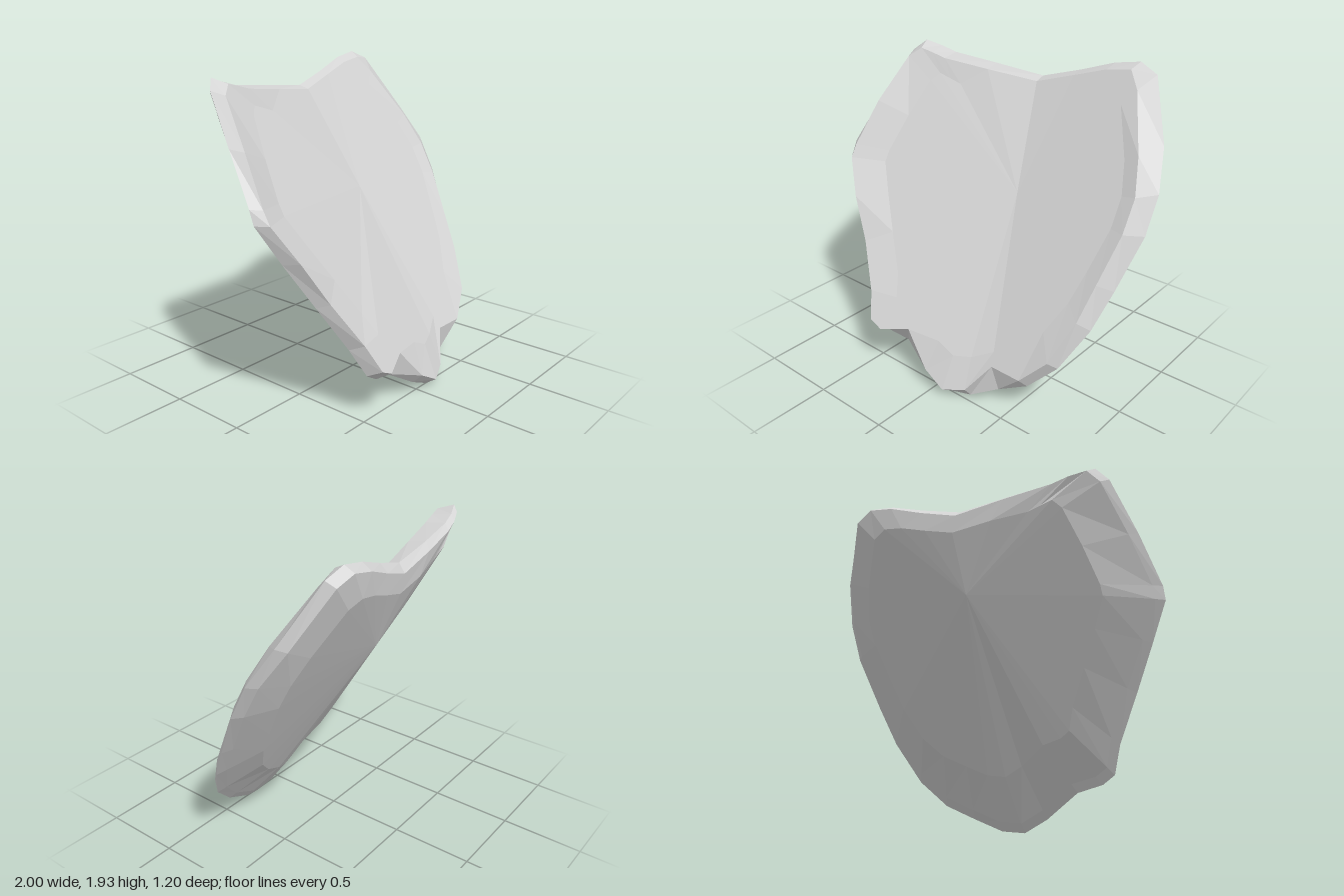
import * as THREE from 'three';

// Rim of the slab, clockwise from the top left: x, y, z, front bevel inset
const RIM = [
  [-0.8, 1.88, -0.31, 0.05], [-0.7, 1.85, -0.35, 0.03], [-0.6, 1.82, -0.37, 0.02],
  [-0.3, 1.79, -0.42, 0.02], [0.03, 1.76, -0.46, 0.02], [0.27, 1.83, -0.5, 0.02],
  [0.48, 1.9, -0.54, 0.03], [0.64, 1.93, -0.55, 0.04], [0.76, 1.88, -0.53, 0.1],
  [0.93, 1.55, -0.36, 0.1], [1, 1.33, -0.22, 0.1], [1, 1.12, -0.11, 0.1],
  [0.93, 0.82, 0.05, 0.09], [0.87, 0.6, 0.17, 0.08], [0.75, 0.36, 0.3, 0.06],
  [0.59, 0.2, 0.37, 0.06], [0.4, 0.1, 0.4, 0.16], [0.24, 0.02, 0.47, 0.06],
  [0.1, 0, 0.5, 0.05], [-0.05, 0.07, 0.51, 0.06], [-0.27, 0.2, 0.48, 0.14],
  [-0.42, 0.24, 0.52, 0.06], [-0.5, 0.29, 0.52, 0.05], [-0.57, 0.45, 0.45, 0.05],
  [-0.73, 0.72, 0.36, 0.05], [-0.88, 0.98, 0.27, 0.05], [-1, 1.2, 0.2, 0.05],
  [-1, 1.28, 0.17, 0.05], [-0.94, 1.55, -0.03, 0.04], [-0.86, 1.82, -0.25, 0.04],
];
const CX = 0.15, CY = 1.15;

// Tilted front face, folded along a slanting crease
const frontZ = (x, y) => -0.1 - 0.55 * (y - 1.2) + 0.3 * Math.max(0, 0.35 - 0.17 * y - x);

// Raised lip along both sides, worn down at the bottom tip
function lip(x, y) {
  if (y < 0.15) return -0.03;
  if (y > 1.7) return 0;
  return x < -0.75 ? 0.035 : x > 0.7 ? 0.02 : 0;
}

// Scales a rim point about the middle
const shrink = ([x, y], k) => [CX + (x - CX) * k, CY + (y - CY) * k];

// Moves a rim point towards the middle by a distance
const inset = (p, d) => shrink(p, 1 - d / Math.hypot(p[0] - CX, p[1] - CY));

export function createModel() {
  const stone = new THREE.MeshStandardMaterial({ color: 0xd4d4d4, flatShading: true });
  stone.name = 'grey stone';

  // Rings from the front face, round the rim, to the back face
  const rings = [
    RIM.map((p) => {
      const [x, y] = shrink(p, 0.78);
      return [x, y, frontZ(x, y) - (x < -0.4 ? 0.015 : 0)];
    }),
    RIM.map((p) => {
      const [x, y] = inset(p, p[3]);
      return [x, y, frontZ(x, y) + lip(x, y)];
    }),
    RIM.map(([x, y, z]) => [x, y, z]),
    RIM.map((p) => { const [x, y] = inset(p, 0.05); return [x, y, p[2] - 0.045]; }),
    RIM.map((p) => {
      const [x, y] = shrink(p, 0.74);
      return [x, y, frontZ(x, y) - (x < 0 ? 0.21 : 0.18)];
    }),
  ];

  const n = RIM.length;
  const points = rings.flat();
  const front = points.push([CX, CY, frontZ(CX, CY)]) - 1;
  const back = points.push([0.05, 1.25, -0.34]) - 1;
  const index = [];
  const last = (rings.length - 1) * n;
  for (let i = 0; i < n; i++) {
    const j = (i + 1) % n;
    index.push(front, j, i, back, last + i, last + j);
    for (let r = 0; r < last; r += n) {
      index.push(r + i, r + j, r + n + j, r + i, r + n + j, r + n + i);
    }
  }

  const geometry = new THREE.BufferGeometry();
  geometry.setAttribute('position', new THREE.Float32BufferAttribute(points.flat(), 3));
  geometry.setIndex(index);
  geometry.computeVertexNormals();

  const slab = new THREE.Mesh(geometry, stone);
  slab.name = 'rockSlab';
  const group = new THREE.Group();
  group.name = 'leaningRock';
  group.add(slab);
  return group;
}
